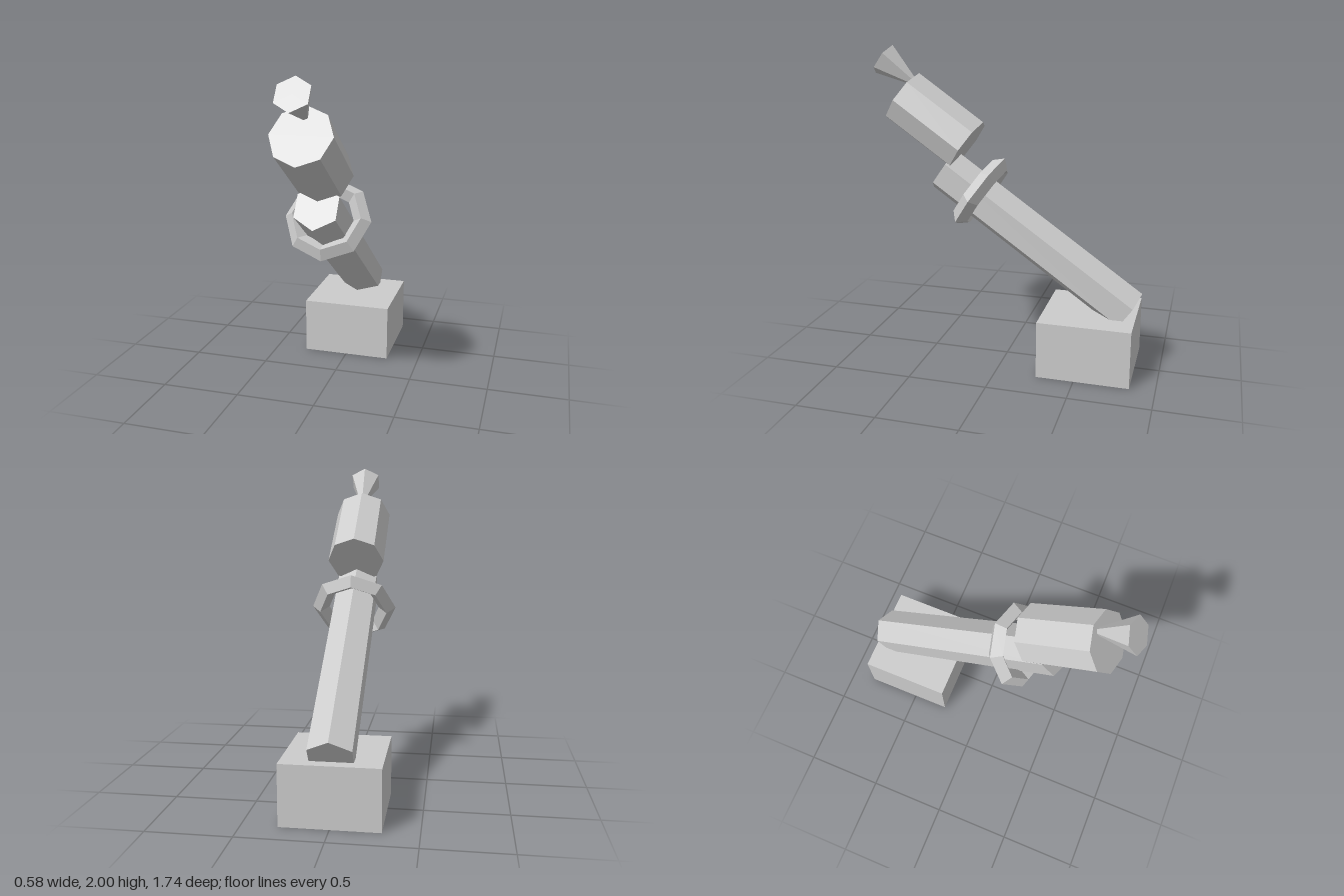
import * as THREE from 'three';

export function createModel() {
  const model = new THREE.Group();
  const material = new THREE.MeshStandardMaterial({ color: 0xcccccc, flatShading: true });
  const tilt = THREE.MathUtils.degToRad(35); // rise of the leaning parts toward the front

  const add = (name, geometry, y, z, angle = 0) => {
    const mesh = new THREE.Mesh(geometry, material);
    mesh.name = name;
    mesh.position.set(0, y, z);
    mesh.rotation.x = angle;
    model.add(mesh);
  };

  // Prism or cone leaning forward, placed by the centre of its upper front end
  const addLeaning = (name, rFront, rBack, length, sides, y, z) =>
    add(name, new THREE.CylinderGeometry(rFront, rBack, length, sides),
      y - Math.sin(tilt) * length / 2, z - Math.cos(tilt) * length / 2, Math.PI / 2 - tilt);

  // Block at the back that everything leans out of
  add('base', new THREE.BoxGeometry(0.58, 0.365, 0.58), 0.1825, -0.553);

  // Long six-sided bar, eight-sided drum above it, and the flared tip
  addLeaning('arm', 0.146, 0.146, 1.46, 6, 1.225, 0.409);
  addLeaning('drum', 0.183, 0.183, 0.508, 8, 1.68, 0.677);
  addLeaning('flaredTip', 0.107, 0, 0.305, 6, 1.912, 0.805);

  // Square-section ring around the bar
  add('ring', new THREE.TorusGeometry(0.217, 0.055, 4, 8), 1.094, 0.174, -tilt);

  return model;
}
